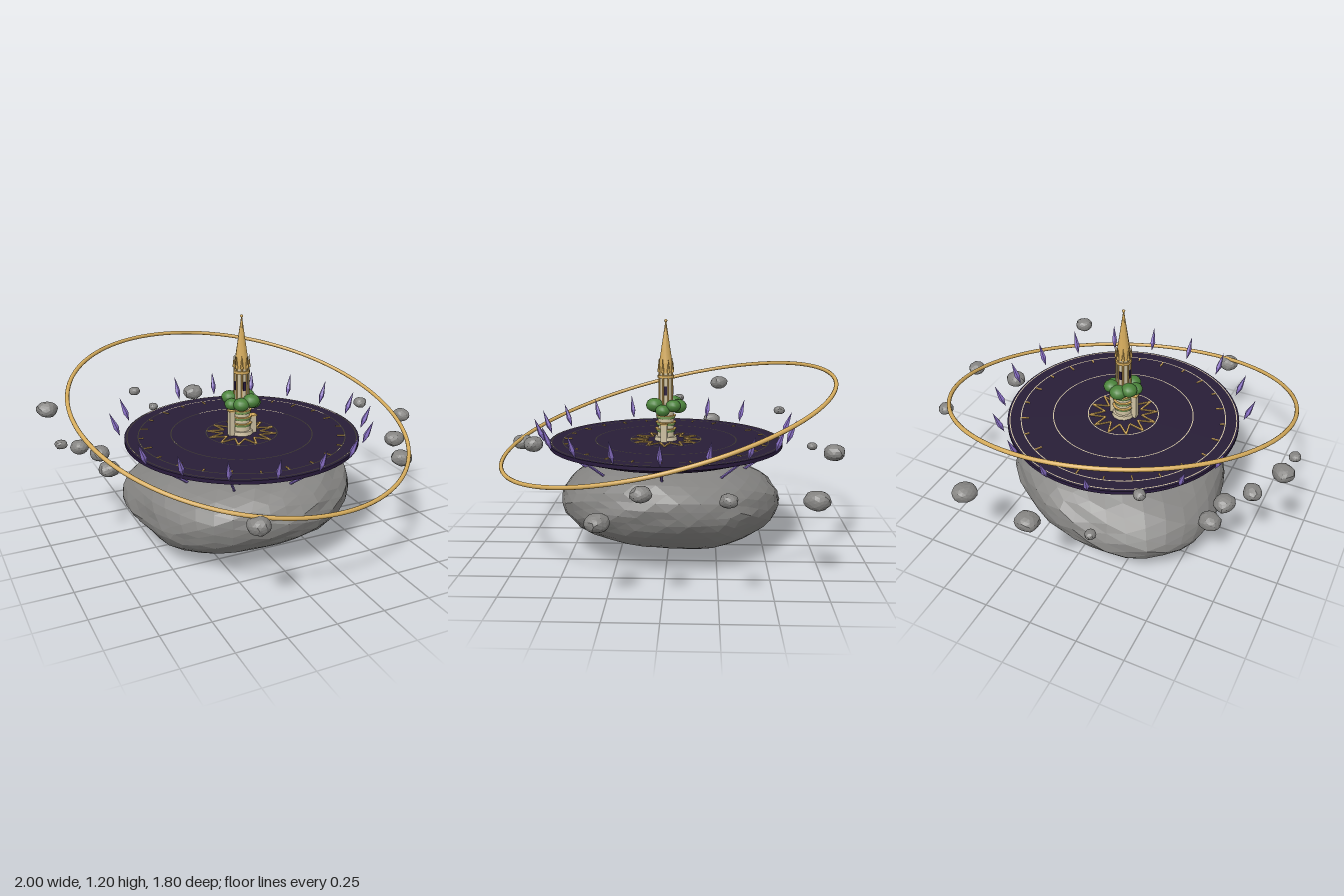
import * as THREE from 'three';

const mat = (name, color, extra = {}) => {
  const m = new THREE.MeshStandardMaterial({ color, ...extra });
  m.name = name;
  return m;
};

export function createModel() {
  const rockMat = mat('grey rock', 0x858482, { flatShading: true });
  const topMat = mat('dark violet floor', 0x281e37);
  const underMat = mat('deep violet underside', 0x281a3c);
  const gold = mat('gold', 0xd6ac5c);
  const cream = mat('cream stone', 0xcfc2a2);
  const leaf = mat('leaf green', 0x4a823a);
  const moss = mat('pale green', 0x7fa35e);
  const crystalMat = mat('violet crystal', 0x8a70c8, { flatShading: true });

  const model = new THREE.Group();
  model.name = 'floatingIsland';
  const add = (parent, name, geo, material, x = 0, y = 0, z = 0) => {
    const m = new THREE.Mesh(geo, material);
    m.name = name;
    m.position.set(x, y, z);
    parent.add(m);
    return m;
  };
  const group = (name, parent = model) => {
    const g = new THREE.Group();
    g.name = name;
    parent.add(g);
    return g;
  };
  // angle runs clockwise seen from above, starting at the back
  const polar = (deg, r, y) => {
    const a = THREE.MathUtils.degToRad(deg);
    return new THREE.Vector3(r * Math.sin(a), y, -r * Math.cos(a));
  };
  const rod = (parent, name, a, b, r, material) => {
    const m = add(parent, name, new THREE.CylinderGeometry(r, r, a.distanceTo(b), 6), material);
    m.position.copy(a).lerp(b, 0.5);
    m.quaternion.setFromUnitVectors(new THREE.Vector3(0, 1, 0), b.clone().sub(a).normalize());
  };
  // flat strip lying on the floor between two points
  const strip = (parent, name, a, b, width, material) => {
    const m = add(parent, name, new THREE.BoxGeometry(width, 0.005, a.distanceTo(b)), material);
    m.position.copy(a).lerp(b, 0.5);
    m.rotation.y = Math.atan2(b.x - a.x, b.z - a.z);
  };

  // faceted stone: a boxy ellipsoid with lumps
  const stone = (rx, ry, rz, detail, seed, power, rough) => {
    const geo = new THREE.IcosahedronGeometry(1, detail);
    const p = geo.attributes.position;
    const v = new THREE.Vector3();
    for (let i = 0; i < p.count; i++) {
      v.fromBufferAttribute(p, i).normalize();
      const { x, y, z } = v;
      const norm = (Math.abs(x) ** power + Math.abs(y) ** power + Math.abs(z) ** power) ** (1 / power);
      const lump = Math.sin(3.1 * x + 2 * z + seed) * Math.sin(2.7 * y - 3 * z + seed * 2)
        + 0.5 * Math.sin(8 * x - 5 * y + seed) * Math.sin(7 * z + 6 * y)
        + 0.4 * Math.sin(15 * x + 9 * z + seed) * Math.sin(13 * y + 11 * z);
      const k = (1 + rough * lump) / norm;
      p.setXYZ(i, x * k * rx, y * k * ry, z * k * rz);
    }
    geo.computeVertexNormals();
    return geo;
  };

  // main rock: leans up to its left, narrows below, fuller at the back right corner
  const rockGeo = stone(0.58, 0.24, 0.568, 6, 1.3, 2.3, 0.025);
  const rp = rockGeo.attributes.position;
  for (let i = 0; i < rp.count; i++) {
    const x = rp.getX(i), y = rp.getY(i), z = rp.getZ(i);
    const corner = x > 0 && z > 0 ? 1 : 1 + 0.28 * x * z;
    const k = corner * (1 - 0.09 * Math.max(0, -y / 0.24));
    rp.setXYZ(i, x * k, y + 0.1 * x + 0.03 * z, z * k);
  }
  rockGeo.computeVertexNormals();
  rockGeo.computeBoundingBox();
  add(model, 'mainRock', rockGeo, rockMat, -0.016, -rockGeo.boundingBox.min.y, -0.013);

  // small floating rocks: x, y, z, size
  const rocks = group('smallRocks');
  [[0.06, 0.525, -0.855, 0.057], [0.52, 0.4, -0.71, 0.062], [-0.225, 0.495, -0.78, 0.028],
    [-0.39, 0.665, -0.61, 0.031], [-0.64, 0.347, -0.32, 0.056], [-0.695, 0.46, -0.285, 0.054],
    [-0.81, 0.535, -0.235, 0.048], [-0.95, 0.745, -0.28, 0.052], [-0.945, 0.647, -0.03, 0.03],
    [0.913, 0.51, -0.285, 0.04], [0.95, 0.545, 0.08, 0.046], [0.825, 0.38, 0.28, 0.056],
    [0.525, 0.66, 0.605, 0.047], [-0.315, 0.487, 0.84, 0.056],
  ].forEach(([x, y, z, s], i) => {
    add(rocks, 'smallRock', stone(s, s * 0.74, s * 0.94, 2, i * 1.7, 2.2, 0.06), rockMat, x, y, z).rotation.y = i * 0.8;
  });

  // tilted gold orbit ring
  const orbit = add(model, 'orbitRing', new THREE.TorusGeometry(0.886, 0.0105, 10, 128), gold, -0.012, 0.695, 0.014);
  orbit.quaternion.setFromUnitVectors(new THREE.Vector3(0, 0, 1), new THREE.Vector3(0.1, 1, 0.25).normalize());

  // everything on the platform shares its centre
  const deck = group('platform');
  deck.position.set(-0.013, 0, 0.016);
  const top = 0.572;
  const bowl = [[0, 0.484], [0.36, 0.484], [0.45, 0.502], [0.6, 0.55], [0.608, 0.553]];
  add(deck, 'platformUnderside', new THREE.LatheGeometry(bowl.map(p => new THREE.Vector2(...p)), 96), underMat);
  add(deck, 'platformRim', new THREE.CylinderGeometry(0.608, 0.608, top - 0.553, 96, 1, true), underMat, 0, (top + 0.553) / 2, 0);
  add(deck, 'platformFloor', new THREE.CircleGeometry(0.608, 96), topMat, 0, top, 0).rotation.x = -Math.PI / 2;

  // inlaid circles, dial ticks and star
  [0.595, 0.537, 0.368, 0.185].forEach(r => {
    add(deck, 'inlaidCircle', new THREE.RingGeometry(r - 0.0025, r + 0.0025, 96), cream, 0, top + 0.003, 0).rotation.x = -Math.PI / 2;
  });
  for (let i = 0; i < 24; i++) {
    strip(deck, 'dialTick', polar(i * 15, 0.534, top + 0.002), polar(i * 15, i % 2 ? 0.51 : 0.495, top + 0.002), 0.007, gold);
  }
  for (let i = 0; i < 12; i++) {
    const tip = polar(i * 30, 0.18, top + 0.003);
    [-15, 15].forEach(d => strip(deck, 'starLine', tip, polar(i * 30 + d, 0.098, top + 0.003), 0.009, gold));
  }

  // crystals leaning outward around the rim, with two gaps
  const crystalGeo = new THREE.LatheGeometry(
    [[0, -0.06], [0.015, -0.012], [0.012, 0.01], [0, 0.075]].map(p => new THREE.Vector2(...p)), 5);
  for (let a = 10; a < 360; a += 20) {
    if (a === 270 || a === 330) continue;
    const c = add(deck, 'rimCrystal', crystalGeo, crystalMat);
    c.position.copy(polar(a, 0.652, 0.632));
    c.quaternion.setFromUnitVectors(new THREE.Vector3(0, 1, 0), polar(a, 0.36, 0.93).normalize());
  }
  // slim struts from the rock to the platform
  for (let a = 10; a < 360; a += 40) {
    rod(deck, 'strut', polar(a, 0.38, 0.41), polar(a, 0.57, 0.548), 0.007, crystalMat);
  }

  // tower body
  const tower = group('tower', deck);
  const drum = (name, r0, r1, y0, y1, material, sides = 12) =>
    add(tower, name, new THREE.CylinderGeometry(r1, r0, y1 - y0, sides), material, 0, (y0 + y1) / 2, 0);
  drum('towerBase', 0.06, 0.056, top, 0.592, cream);
  drum('towerLower', 0.044, 0.04, 0.592, 0.73, cream);
  drum('towerShaft', 0.036, 0.034, 0.73, 0.95, cream);
  [0.625, 0.66, 0.695].forEach((y, i) => {
    drum('gardenTerrace', 0.048, 0.054 - i * 0.002, y - 0.008, y + 0.006, moss, 16);
    drum('terraceTrim', 0.056 - i * 0.002, 0.056 - i * 0.002, y + 0.006, y + 0.01, gold, 16);
  });
  drum('upperCollar', 0.042, 0.042, 0.9, 0.914, gold, 16);
  for (let i = 0; i < 8; i++) {
    const a = i * 45 + 22.5;
    rod(tower, 'shaftRib', polar(a, 0.036, 0.73), polar(a, 0.036, 0.93), 0.0045, gold);
    const p = polar(a, 0.038, 0.965);
    add(tower, 'pinnacle', new THREE.ConeGeometry(0.008, 0.07, 6), gold, p.x, p.y, p.z);
  }
  for (let i = 0; i < 4; i++) {
    const w = add(tower, 'window', new THREE.BoxGeometry(0.014, 0.045, 0.008), underMat);
    w.position.copy(polar(i * 90, 0.035, 0.835));
    w.rotation.y = i * Math.PI / 2;
  }

  // spire
  drum('spireFoot', 0.038, 0.034, 0.925, 0.98, gold, 8);
  drum('spire', 0.034, 0.003, 0.98, 1.185, gold, 8);
  add(tower, 'finial', new THREE.SphereGeometry(0.008, 12, 8), gold, 0, 1.192, 0);

  // side turrets
  [[-0.062, 0.705, 0.028], [0.058, 0.665, 0.034]].forEach(([x, y, w]) => {
    add(tower, 'sideTurret', new THREE.BoxGeometry(w, y - top, 0.034), cream, x, (y + top) / 2, 0.008);
    add(tower, 'turretCap', new THREE.BoxGeometry(w + 0.006, 0.006, 0.04), gold, x, y, 0.008);
  });

  // leafy crown around the shaft
  for (let i = 0; i < 7; i++) {
    const p = polar(i * 360 / 7, 0.064, 0.75 + 0.014 * Math.sin(i * 2.4));
    const s = 0.041 + 0.004 * Math.cos(i * 1.9);
    add(tower, 'foliage', new THREE.SphereGeometry(s, 14, 10), leaf, p.x, p.y, p.z).scale.y = 0.8;
  }
  return model;
}
